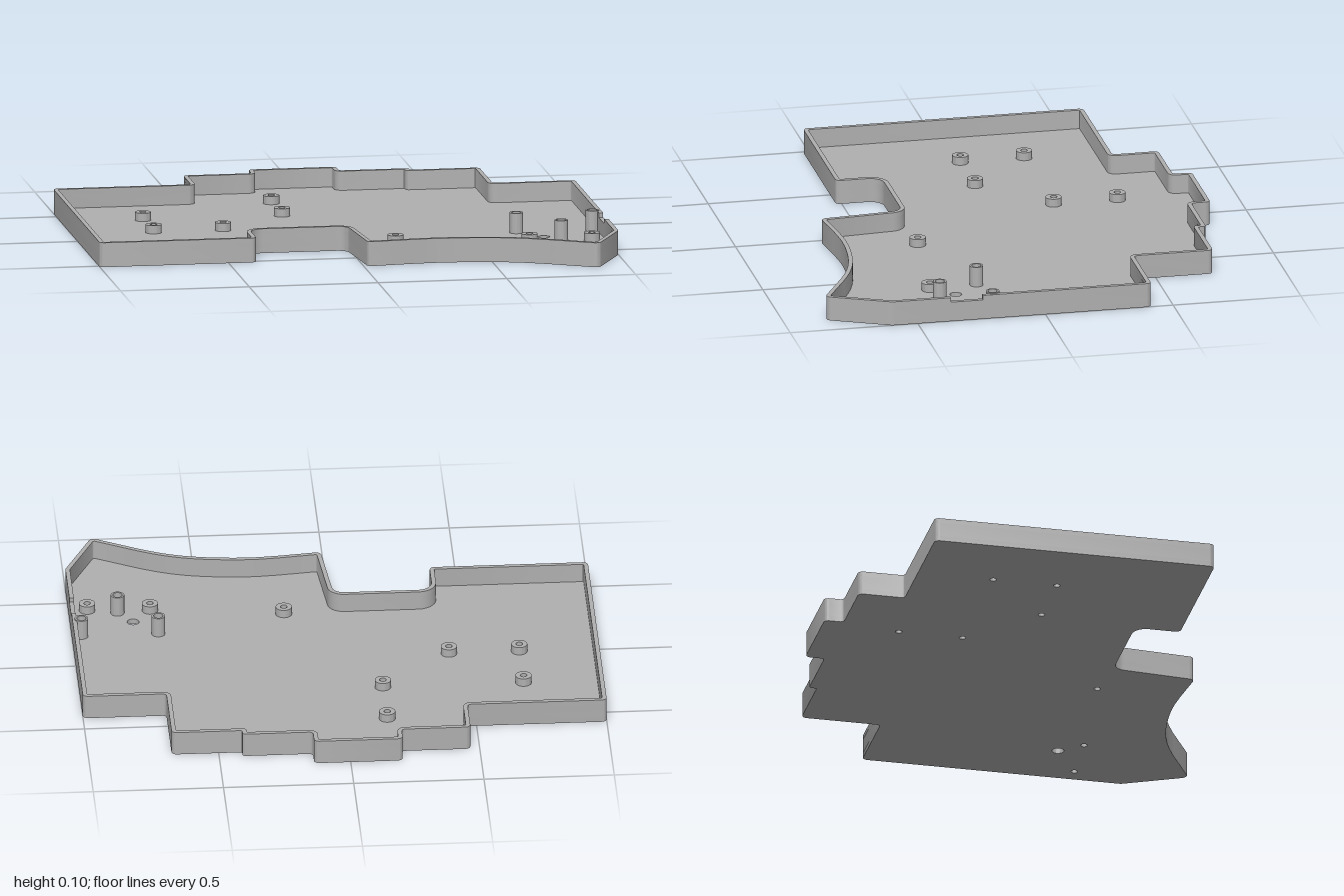
import * as THREE from 'three';
import { toCreasedNormals } from 'three/addons/utils/BufferGeometryUtils.js';

const WALL = 0.017, FLOOR = 0.02, SILL = 0.077, RIM = 0.095;

// Outline corners [x, z, radius], running from one side of the port notch round to the other
const CORNERS = [
  [1, 0.37, 0], [1, 0.6, 0.03], [0.886, 0.84, 0.026],
  [0.7, 0.737, 0.5], [0.62, 0.699, 0.5], [0.53, 0.67, 0.5], [0.44, 0.655, 0.5],
  [0.35, 0.646, 0.5], [0.27, 0.644, 0.5], [0.18, 0.651, 0.5],
  [0.016, 0.67, 0.022], [-0.012, 0.345, 0.045], [-0.392, 0.345, 0.055],
  [-0.392, 0.522, 0.02], [-1, 0.522, 0.02], [-1, -0.575, 0.02],
  [-0.465, -0.575, 0.015], [-0.465, -0.755, 0.02], [-0.2, -0.755, 0.015],
  [-0.2, -0.83, 0.02], [0.14, -0.83, 0.02], [0.14, -0.755, 0.015],
  [0.41, -0.755, 0.012], [0.41, -0.725, 0.006], [0.68, -0.725, 0.02],
  [0.68, -0.415, 0.015], [1, -0.415, 0.02], [1, 0.245, 0],
];

// Rounded outline, moved inward by the given inset
function outline(inset) {
  const n = CORNERS.length;
  const raw = CORNERS.map(([x, z]) => new THREE.Vector2(x, z));
  const dirs = raw.map((p, i) => raw[(i + 1) % n].clone().sub(p).normalize());
  const turns = raw.map((p, i) => dirs[(i + n - 1) % n].cross(dirs[i]));
  const pts = raw.map((p, i) => {
    const a = dirs[(i + n - 1) % n], b = dirs[i];
    const k = inset / (1 + a.dot(b));
    return new THREE.Vector2(p.x - (a.y + b.y) * k, p.y + (a.x + b.x) * k);
  });
  return pts.flatMap((p, i) => {
    const r0 = CORNERS[i][2];
    if (r0 === 0) return [p];
    const prev = pts[(i + n - 1) % n], next = pts[(i + 1) % n];
    const r = Math.max(0.006, r0 - Math.sign(turns[i]) * inset);
    const angle = Math.asin(Math.min(1, Math.abs(turns[i])));
    const d = Math.min(r * Math.tan(angle / 2), p.distanceTo(prev) * 0.48, p.distanceTo(next) * 0.48);
    const a = p.clone().add(prev.clone().sub(p).setLength(d));
    const b = p.clone().add(next.clone().sub(p).setLength(d));
    return new THREE.CubicBezierCurve(a, a.clone().lerp(p, 0.55), b.clone().lerp(p, 0.55), b)
      .getPoints(r0 > 0.1 ? 3 : 7);
  });
}

function circle(x, z, r) {
  return new THREE.Path().absarc(x, z, r, 0, Math.PI * 2, false);
}

export function createModel() {
  const group = new THREE.Group();
  const grey = new THREE.MeshStandardMaterial({ color: 0xb0b0b0 });

  // Extrude a plan shape between two heights
  function slab(name, points, holes, y0, y1) {
    const shape = new THREE.Shape(points);
    shape.holes = holes;
    const geo = new THREE.ExtrudeGeometry(shape, { depth: y1 - y0, bevelEnabled: false, curveSegments: 14 });
    geo.rotateX(Math.PI / 2).translate(0, y1, 0);
    const mesh = new THREE.Mesh(toCreasedNormals(geo, 0.6), grey);
    mesh.name = name;
    group.add(mesh);
  }

  const outer = outline(0), inner = outline(WALL);
  const standoffs = [
    [-0.7, -0.28], [-0.7, -0.03], [-0.43, -0.03], [-0.16, -0.28],
    [-0.16, -0.53], [0.18, 0.325], [0.69, 0.387], [0.93, 0.402],
  ];
  const posts = [[0.67, 0.2], [0.815, 0.375], [0.965, 0.2]];

  // Floor with screw holes and one larger button hole
  const holes = standoffs.map(([x, z]) => circle(x, z, 0.013));
  holes.push(circle(0.76, 0.3, 0.023));
  slab('floor', outer, holes, 0, FLOOR);

  // Wall, with its upper part left open at the port notch
  slab('lowerWall', outer, [new THREE.Path(inner)], FLOOR, SILL);
  slab('upperWall', [...outer, ...inner.slice().reverse()], [], SILL, RIM);

  // Short hollow standoffs and tall blind posts
  for (const [x, z] of standoffs) {
    slab('standoff', circle(x, z, 0.031).getPoints(28), [circle(x, z, 0.013)], FLOOR, 0.052);
  }
  for (const [x, z] of posts) {
    slab('tallPost', circle(x, z, 0.026).getPoints(28), [circle(x, z, 0.018)], FLOOR, 0.099);
  }
  return group;
}
